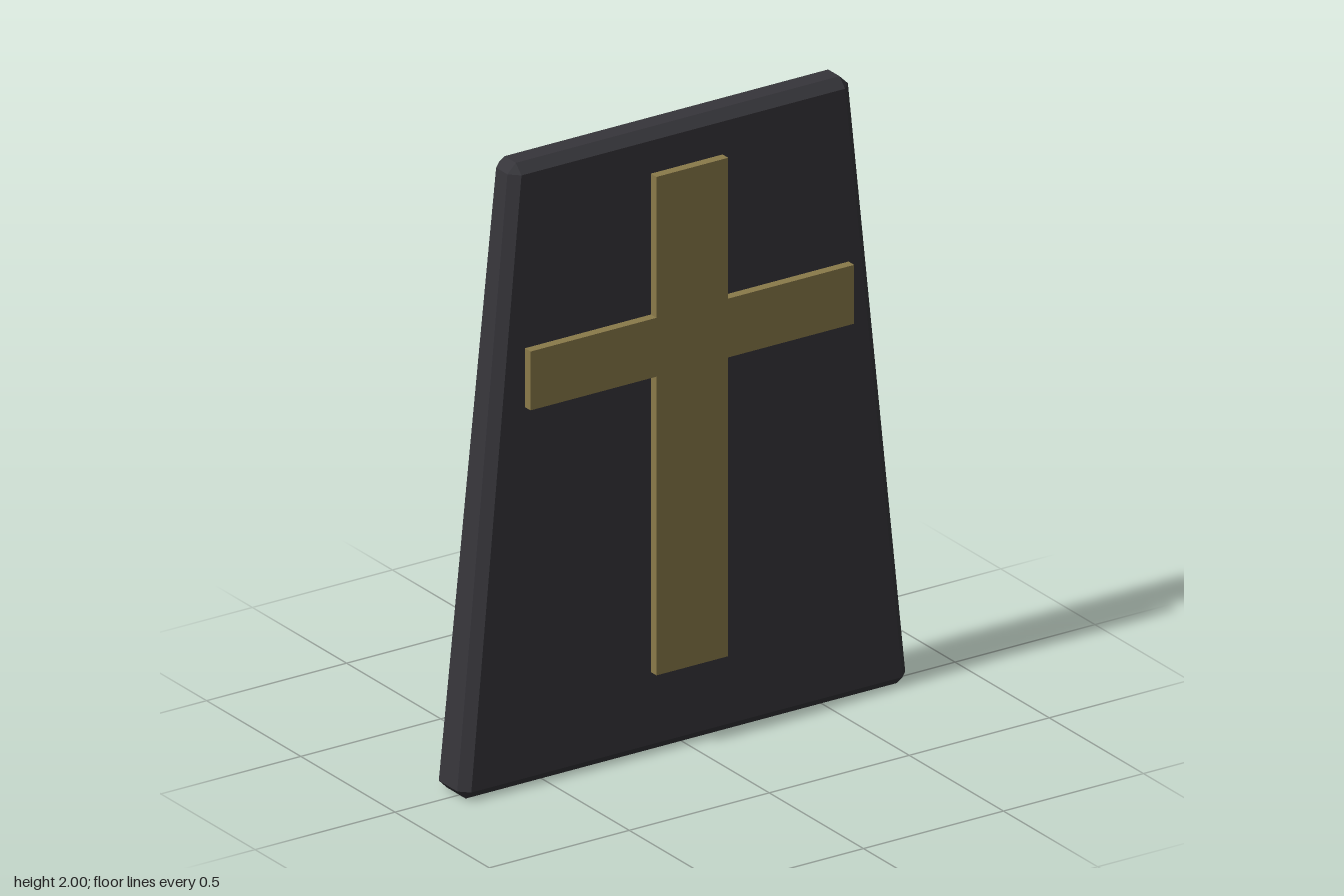
import * as THREE from 'three';
import { ConvexGeometry } from 'three/addons/geometries/ConvexGeometry.js';

// Tapered slab with chamfered edges: three points at each of the eight corners
function chamferedSlab(ends, bevel) {
  const points = [];
  for (const { y, inward, halfWidth, halfDepth, midZ } of ends)
    for (const sx of [-1, 1])
      for (const sz of [-1, 1]) {
        const x = sx * halfWidth, z = sz * halfDepth;
        const xIn = sx * (halfWidth - bevel), zIn = sz * (halfDepth - bevel);
        const yIn = y + inward * bevel;
        points.push(
          new THREE.Vector3(x, yIn, midZ + zIn),
          new THREE.Vector3(xIn, y, midZ + zIn),
          new THREE.Vector3(xIn, yIn, midZ + z)
        );
      }
  return new ConvexGeometry(points);
}

export function createModel() {
  const group = new THREE.Group();

  // Dark tapered slab
  const slab = new THREE.Mesh(
    chamferedSlab([
      { y: 0, inward: 1, halfWidth: 0.8, halfDepth: 0.079, midZ: -0.016 },
      { y: 2, inward: -1, halfWidth: 0.608, halfDepth: 0.06, midZ: -0.016 }
    ], 0.03),
    new THREE.MeshStandardMaterial({ color: 0x36353a, flatShading: true })
  );
  slab.name = 'slab';
  group.add(slab);

  // Cross floating just in front of the slab
  const post = 0.128, arm = 0.578, bottom = 0.265, low = 1.23, high = 1.42, top = 1.875;
  const half = [[post, bottom], [post, low], [arm, low], [arm, high], [post, high], [post, top]];
  const outline = [...half, ...half.map(([x, y]) => [-x, y]).reverse()];
  const shape = new THREE.Shape(outline.map(([x, y]) => new THREE.Vector2(x, y)));
  const cross = new THREE.Mesh(
    new THREE.ExtrudeGeometry(shape, { depth: 0.03, bevelEnabled: false }),
    new THREE.MeshStandardMaterial({ color: 0x8a7a4a, flatShading: true })
  );
  cross.name = 'cross';
  cross.position.set(-0.002, 0, 0.065);
  group.add(cross);

  return group;
}
